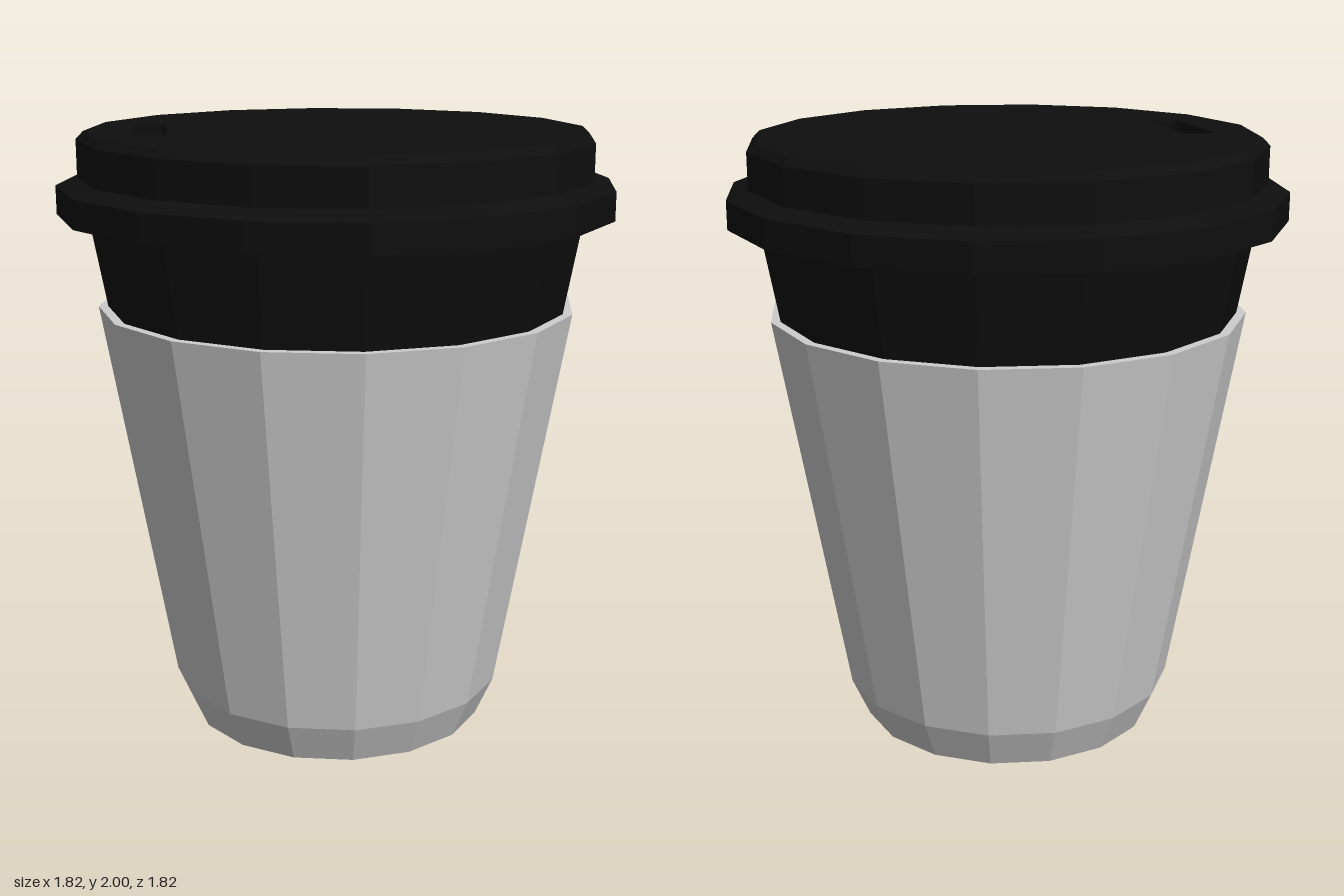
import * as THREE from 'three';

const SIDES = 16;

export function createModel() {
  const model = new THREE.Group();
  const grey = new THREE.MeshStandardMaterial({ color: 0xcccccc, flatShading: true });
  grey.name = 'light grey';
  const black = new THREE.MeshStandardMaterial({ color: 0x0e0e0e, flatShading: true });
  black.name = 'black';

  const add = (name, geometry, material) => {
    const mesh = new THREE.Mesh(geometry, material);
    mesh.name = name;
    model.add(mesh);
    return mesh;
  };
  // Faceted ring of revolution from [radius, height] pairs, bottom to top
  const turned = (name, profile, material) =>
    add(name, new THREE.LatheGeometry(profile.map(([r, y]) => new THREE.Vector2(r, y)), SIDES), material);

  // Cup with chamfered foot and a narrow ledge at the top
  turned('cupBody', [[0, 0], [0.5, 0], [0.56, 0.135], [0.638, 0.58], [0.787, 1.43], [0.755, 1.43]], grey);

  // Dark upper wall between the cup and the lid
  turned('upperWall', [[0.755, 1.425], [0.812, 1.74]], black);

  // Lid skirt, overhanging rim and chamfered crown
  turned('lidSide', [
    [0.8, 1.735], [0.91, 1.735], [0.91, 1.828], [0.84, 1.855], [0.84, 1.975], [0.815, 2],
  ], black);

  // Lid top with a sip slot cut through it
  const top = new THREE.Shape();
  for (let i = 0; i < SIDES; i++) {
    const a = (i / SIDES) * Math.PI * 2;
    const p = [0.815 * Math.cos(a), 0.815 * Math.sin(a)];
    if (i === 0) top.moveTo(...p);
    else top.lineTo(...p);
  }
  top.closePath();
  const slot = new THREE.Path();
  const [x0, x1, z, c] = [-0.655, -0.55, 0.17, 0.015];
  [[x0 + c, -z], [x0, -z + c], [x0, z - c], [x0 + c, z], [x1 - c, z], [x1, z - c], [x1, -z + c], [x1 - c, -z]]
    .forEach((p, i) => (i ? slot.lineTo(...p) : slot.moveTo(...p)));
  slot.closePath();
  top.holes.push(slot);
  const plate = new THREE.ExtrudeGeometry(top, { depth: 0.04, bevelEnabled: false });
  add('lidTop', plate.rotateX(-Math.PI / 2), black).position.y = 1.96;

  // Floor of the sip slot
  add('sipSlotFloor', new THREE.BoxGeometry(0.13, 0.01, 0.37), black).position.set(-0.6025, 1.955, 0);

  return model;
}
